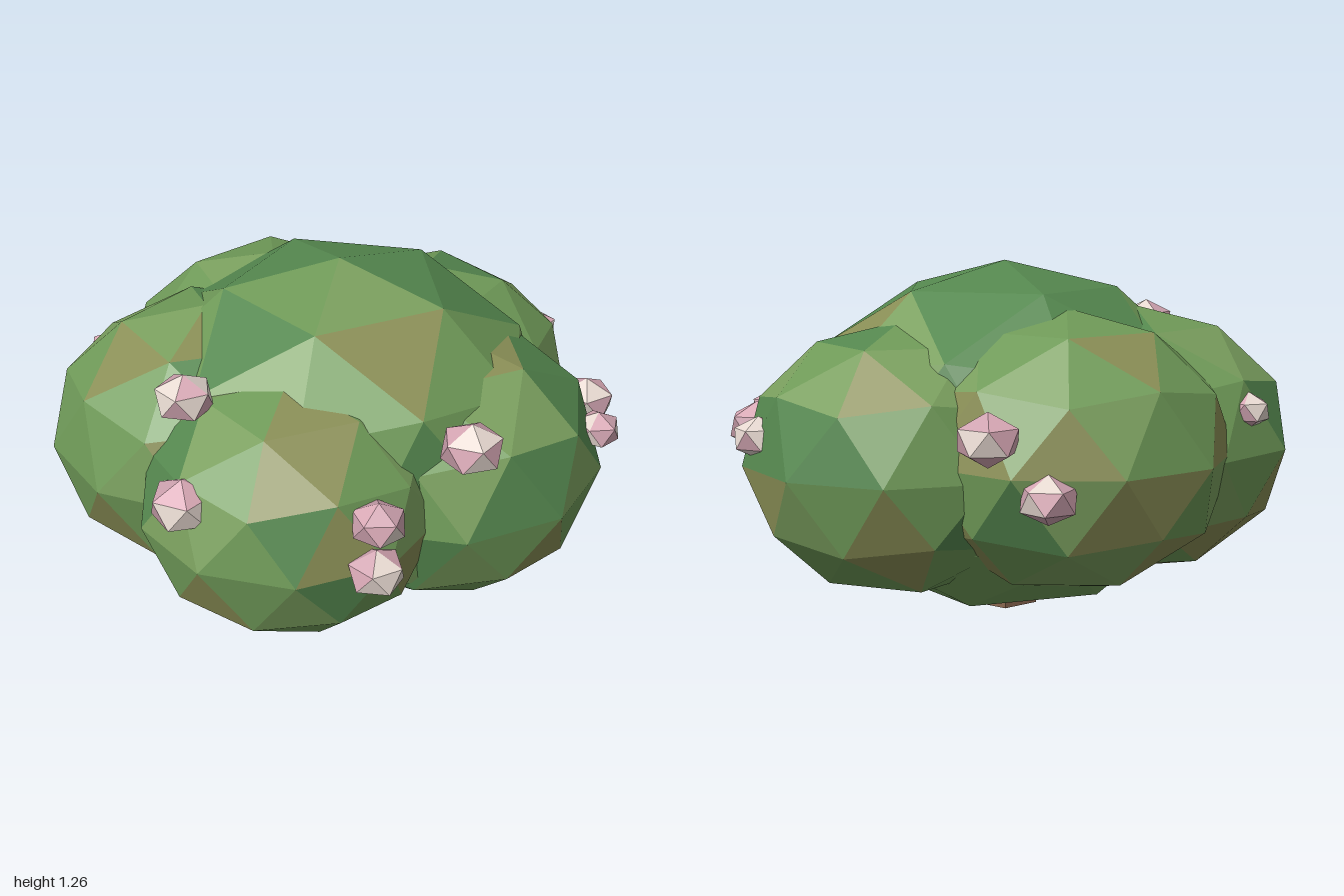
import * as THREE from 'three';

const material = (color) => new THREE.MeshStandardMaterial({ color, flatShading: true });
const leafShades = [0x6f9a58, 0x7a9f5e, 0x55884f, 0x8a8f56, 0x6f9a58].map(material);
const petalShades = [0xd9a9b6, 0xe6d8d0, 0xcfa3b0].map(material);
const bark = material(0x85634c);

// Small seeded generator that picks a shade for each facet
let seed = 11;
const random = () => (seed = (seed * 16807) % 2147483647) / 2147483647;

// Faceted ball standing on a corner, its triangles shared out among the shades
function facetedBall(name, detail, shades, [x, y, z], [rx, ry, rz], azimuth) {
  const ball = new THREE.IcosahedronGeometry(1, detail);
  ball.rotateX(-Math.atan((1 + Math.sqrt(5)) / 2));
  ball.rotateY(THREE.MathUtils.degToRad(90 - azimuth));
  ball.scale(rx, ry, rz);

  const buckets = shades.map(() => []);
  const corners = ball.attributes.position.array;
  for (let i = 0; i < corners.length; i += 9) {
    buckets[Math.floor(random() * shades.length)].push(...corners.slice(i, i + 9));
  }

  const group = new THREE.Group();
  group.name = name;
  group.position.set(x, y, z);
  buckets.forEach((points, i) => {
    if (!points.length) return;
    const geometry = new THREE.BufferGeometry();
    geometry.setAttribute('position', new THREE.Float32BufferAttribute(points, 3));
    geometry.computeVertexNormals();
    const mesh = new THREE.Mesh(geometry, shades[i]);
    mesh.name = name + 'Facets';
    group.add(mesh);
  });
  return group;
}

export function createModel() {
  const bush = new THREE.Group();
  bush.name = 'floweringBush';

  // Foliage clumps: name, centre, horizontal radius, vertical radius, azimuth
  const clumps = [
    ['centreFoliage', [0, 0.63, 0], 0.76, 0.63, 0],
    ['leftFoliage', [0.37, 0.565, -0.06], 0.58, 0.49, 0],
    ['frontFoliage', [0.08, 0.59, 0.48], 0.52, 0.45, 75],
    ['backFoliage', [0.11, 0.6, -0.455], 0.545, 0.47, 255],
    ['frontRightFoliage', [-0.38, 0.62, 0.26], 0.57, 0.48, 153],
    ['backRightFoliage', [-0.38, 0.64, -0.18], 0.57, 0.48, 164],
  ];
  for (const [name, centre, r, h, azimuth] of clumps) {
    bush.add(facetedBall(name, 1, leafShades, centre, [r, h, r], azimuth));
  }

  // Blossoms: x, y, z, radius
  const blossoms = [
    [-0.19, 1.0, 0.68, 0.105],
    [-0.06, 0.76, 0.9, 0.115],
    [0.53, 0.76, 0.69, 0.095],
    [0.54, 0.6, 0.72, 0.1],
    [0.69, 0.91, 0.37, 0.11],
    [0.88, 0.69, -0.28, 0.085],
    [0.75, 0.66, -0.5, 0.11],
    [0.39, 0.7, -0.86, 0.09],
    [-0.46, 0.76, -0.74, 0.11],
    [-0.63, 0.58, -0.66, 0.1],
    [-0.87, 0.77, 0.2, 0.08],
  ];
  blossoms.forEach(([x, y, z, r], i) => {
    bush.add(facetedBall('blossom', 0, petalShades, [x, y, z], [r, r * 0.8, r], i * 47));
  });

  // Short trunk, hidden but for its lowest corners
  const trunk = new THREE.Mesh(new THREE.CylinderGeometry(0.09, 0.12, 0.4, 5), bark);
  trunk.name = 'trunk';
  trunk.position.y = 0.21;
  bush.add(trunk);

  return bush;
}
